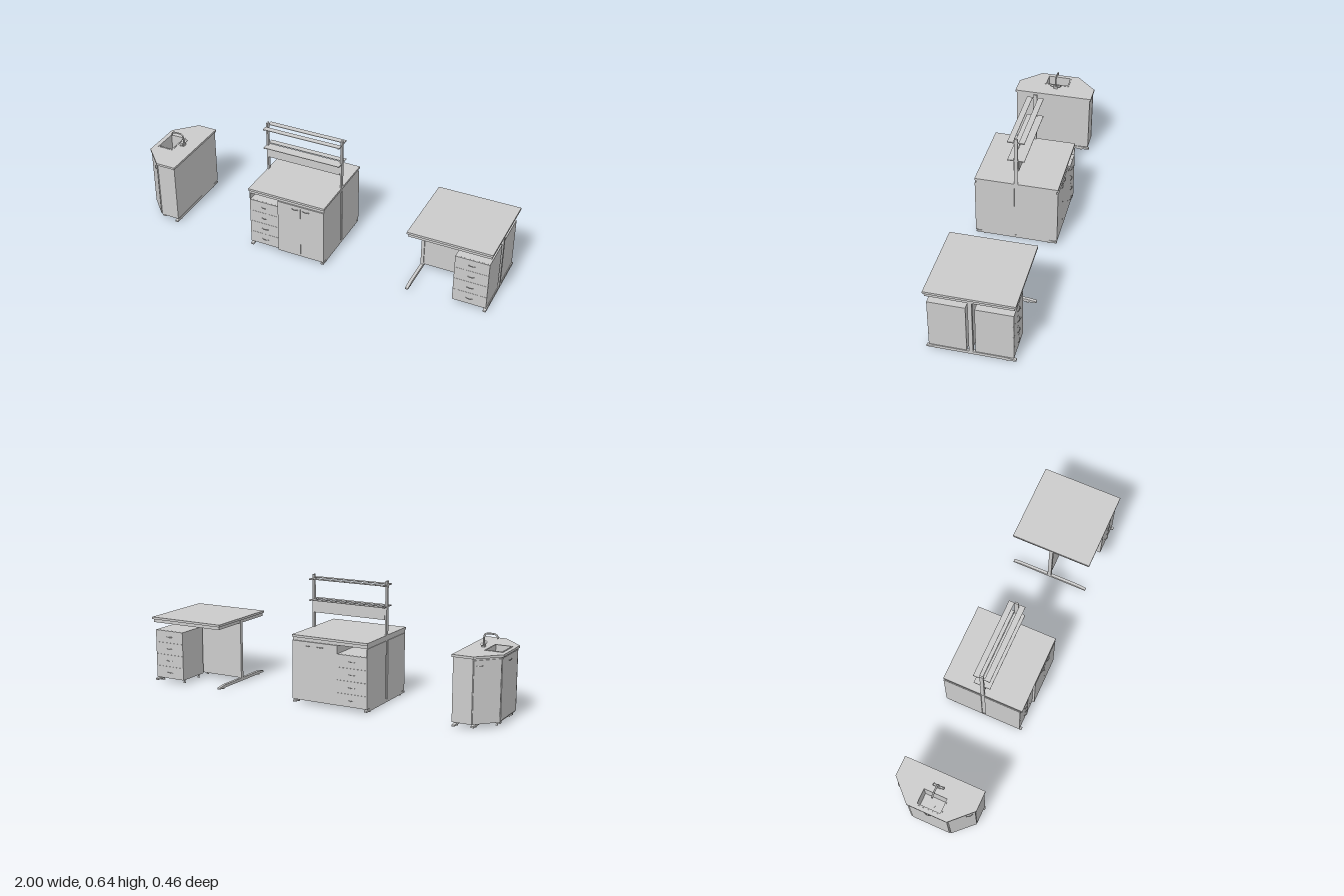
import * as THREE from 'three';

const mat = new THREE.MeshStandardMaterial({ color: 0xcccccc, side: THREE.DoubleSide });

function add(parent, name, geo) {
  const m = new THREE.Mesh(geo, mat);
  m.name = name;
  parent.add(m);
  return m;
}

function group(parent, name) {
  const g = new THREE.Group();
  g.name = name;
  parent.add(g);
  return g;
}

// Box given by its extents on each axis
function box(parent, name, x0, x1, y0, y1, z0, z1) {
  const m = add(parent, name, new THREE.BoxGeometry(x1 - x0, y1 - y0, Math.abs(z1 - z0)));
  m.position.set((x0 + x1) / 2, (y0 + y1) / 2, (z0 + z1) / 2);
  return m;
}

// Upright prism from an [x, z] outline, with an optional hole
function prism(parent, name, outline, y0, y1, hole) {
  const pts = a => a.map(([x, z]) => new THREE.Vector2(x, -z));
  const shape = new THREE.Shape(pts(outline));
  if (hole) shape.holes.push(new THREE.Path(pts(hole)));
  const geo = new THREE.ExtrudeGeometry(shape, { depth: y1 - y0, bevelEnabled: false });
  geo.rotateX(-Math.PI / 2);
  return add(parent, name, geo).translateY(y0);
}

// Bow handle on a vertical face whose outward direction is angle
function handle(parent, x, y, z, angle) {
  const bow = new THREE.QuadraticBezierCurve3(
    new THREE.Vector3(-0.018, 0, 0), new THREE.Vector3(0, 0, 0.012), new THREE.Vector3(0.018, 0, 0));
  const m = add(parent, 'handle', new THREE.TubeGeometry(bow, 8, 0.0018, 6));
  m.position.set(x, y, z);
  m.rotation.y = angle;
}

// Foot bar along z with sloping ends, on levelling feet
function footBar(parent, x, zMax = 0.22, zMin = -zMax) {
  const s = new THREE.Shape([[zMin, 0.006], [zMax, 0.006], [zMax, 0.014], [zMax - 0.05, 0.022],
    [zMin + 0.05, 0.022], [zMin, 0.014]].map(p => new THREE.Vector2(...p)));
  const geo = new THREE.ExtrudeGeometry(s, { depth: 0.016, bevelEnabled: false });
  geo.translate(0, 0, -0.008).rotateY(-Math.PI / 2);
  add(parent, 'footBar', geo).position.x = x;
  for (const z of [zMin + 0.045, zMax - 0.045]) levelFoot(parent, x, z);
}

function levelFoot(parent, x, z) {
  add(parent, 'levellingFoot', new THREE.CylinderGeometry(0.004, 0.007, 0.008, 12)).position.set(x, 0.004, z);
}

// Four-drawer unit; side is +1 for the front and -1 for the back
function drawerUnit(parent, x0, x1, zIn, zOut, side) {
  const g = group(parent, 'drawerUnit');
  box(g, 'drawerCarcass', x0, x1, 0.022, 0.29, side * zIn, side * (zOut - 0.006));
  const h = (0.29 - 0.022) / 4;
  for (let i = 0; i < 4; i++) {
    const y = 0.022 + i * h;
    box(g, 'drawerFront', x0, x1, y + 0.0004, y + h - 0.0004, side * (zOut - 0.006), side * zOut);
    handle(g, (x0 + x1) / 2, y + h / 2, side * zOut, side > 0 ? 0 : Math.PI);
  }
}

// Rectangular rail frame under a worktop
function railFrame(parent, x0, x1) {
  for (const s of [-1, 1]) box(parent, 'longRail', x0, x1, 0.333, 0.35, s * 0.2, s * 0.215);
  for (const x of [x0, x1 - 0.015]) box(parent, 'crossRail', x, x + 0.015, 0.333, 0.35, -0.2, 0.2);
  box(parent, 'middleRail', x0, x1, 0.333, 0.35, -0.01, 0.01);
}

function sinkUnit(root) {
  const g = group(root, 'sinkUnit');
  const top = [[-0.78, 0.222], [-0.89, 0.222], [-1, 0.11], [-1, -0.11], [-0.89, -0.222], [-0.78, -0.222]];
  const body = [[-0.785, 0.215], [-0.887, 0.215], [-0.99, 0.108], [-0.99, -0.108], [-0.887, -0.215], [-0.785, -0.215]];
  const rect = (x0, x1, z) => [[x0, -z], [x1, -z], [x1, z], [x0, z]];
  const hole = rect(-0.973, -0.893, 0.063);
  prism(g, 'sinkWorktop', top, 0.35, 0.362, hole);
  prism(g, 'cabinet', body, 0.03, 0.35, hole);
  prism(g, 'cabinetBottom', body, 0.026, 0.03);
  prism(g, 'sinkRim', rect(-0.98, -0.886, 0.07), 0.361, 0.364, hole);
  box(g, 'basinFloor', -0.974, -0.892, 0.25, 0.254, -0.064, 0.064);
  add(g, 'drain', new THREE.CylinderGeometry(0.01, 0.01, 0.003, 16)).position.set(-0.933, 0.255, 0);
  // Doors on the angled corners and the end
  for (const s of [-1, 1]) {
    const door = add(g, 'cornerDoor', new THREE.BoxGeometry(0.142, 0.31, 0.005));
    door.position.set(-0.94, 0.187, s * 0.163);
    door.rotation.y = s * -0.805;
    handle(g, -0.914, 0.315, s * 0.193, s > 0 ? -0.805 : Math.PI + 0.805);
  }
  box(g, 'endDoor', -0.993, -0.989, 0.032, 0.342, -0.105, 0.105);
  handle(g, -0.993, 0.315, 0, -Math.PI / 2);
  footBar(g, -0.795);
  footBar(g, -0.885, 0.2);
  for (const z of [-0.08, 0.08]) {
    box(g, 'baseRail', -0.985, -0.79, 0.012, 0.026, z - 0.008, z + 0.008);
    levelFoot(g, -0.965, z);
    box(g, 'footStem', -0.969, -0.961, 0.005, 0.014, z - 0.004, z + 0.004);
  }
  // Mixer tap with two tilted knobs
  const tap = group(g, 'tap');
  box(tap, 'tapBase', -0.862, -0.848, 0.362, 0.374, -0.012, 0.012);
  const path = new THREE.CatmullRomCurve3([[-0.855, 0.365], [-0.855, 0.41], [-0.862, 0.426], [-0.878, 0.43],
    [-0.908, 0.43], [-0.921, 0.425], [-0.926, 0.408]].map(([x, y]) => new THREE.Vector3(x, y, 0)));
  add(tap, 'spout', new THREE.TubeGeometry(path, 32, 0.0045, 10));
  for (const s of [-1, 1]) {
    const knob = add(tap, 'tapKnob', new THREE.CylinderGeometry(0.007, 0.005, 0.018, 12));
    knob.position.set(-0.855, 0.377, s * 0.02);
    knob.rotation.x = s * 1.15;
  }
}

function islandBench(root) {
  const g = group(root, 'islandBench');
  const x0 = -0.33, x1 = 0.105, xm = -0.16;
  box(g, 'benchWorktop', x0, x1, 0.35, 0.362, -0.222, 0.222);
  railFrame(g, x0 + 0.003, x1 - 0.003);
  for (const s of [1, -1]) {
    const out = s > 0 ? 0.21 : 0.222;
    drawerUnit(g, x0 + 0.004, xm, 0.01, out, s);
    box(g, 'nicheSide', x0, x0 + 0.004, 0.022, 0.333, s * 0.01, s * out);
    box(g, 'nicheBack', x0 + 0.004, xm, 0.29, 0.333, s * 0.01, s * 0.016);
    // Cupboard with a pair of doors
    box(g, 'cupboard', xm, x1 - 0.003, 0.022, 0.333, s * 0.01, s * 0.216);
    const mid = (xm + x1 - 0.003) / 2;
    box(g, 'cupboardDoor', xm, mid - 0.0004, 0.022, 0.333, s * 0.216, s * 0.222);
    box(g, 'cupboardDoor', mid + 0.0004, x1 - 0.003, 0.022, 0.333, s * 0.216, s * 0.222);
    for (const dx of [-0.031, 0.031]) handle(g, mid + dx, 0.311, s * 0.222, s > 0 ? 0 : Math.PI);
  }
  for (const x of [x0 + 0.01, x1 - 0.012]) {
    footBar(g, x);
    box(g, 'legColumn', x - 0.006, x + 0.006, 0.02, 0.34, -0.0095, 0.0095);
  }
  box(g, 'baseRail', x0 + 0.01, x1 - 0.012, 0.008, 0.022, -0.01, 0.01);

  // Reagent rack: posts, service panel and two split shelves
  const r = group(g, 'shelfRack');
  for (const x of [x0, x1 - 0.009]) {
    box(r, 'rackPost', x, x + 0.009, 0.362, 0.642, -0.01, 0.01);
    for (const y of [0.507, 0.617]) box(r, 'shelfBracket', x, x + 0.009, y, y + 0.004, -0.045, 0.045);
  }
  box(r, 'servicePanel', x0 + 0.009, x1 - 0.009, 0.442, 0.508, -0.014, 0.014);
  for (const y of [0.509, 0.62]) for (const s of [-1, 1])
    box(r, 'shelfStrip', x0, x1, y, y + 0.003, s * 0.015, s * 0.045);
}

function desk(root) {
  const g = group(root, 'desk');
  const x0 = 0.556, x1 = 1;
  box(g, 'deskTop', x0, x1, 0.35, 0.362, -0.222, 0.222);
  railFrame(g, x0 + 0.006, x1 - 0.006);
  box(g, 'modestyPanel', x0 + 0.018, x1 - 0.022, 0.022, 0.336, -0.004, 0.004);
  // T-shaped legs
  for (const x of [x0 + 0.013, x1 - 0.018]) {
    footBar(g, x);
    box(g, 'legColumn', x - 0.008, x + 0.008, 0.02, 0.345, -0.01, 0.01);
  }
  // Back-to-back drawer pedestals on small feet
  for (const s of [1, -1]) {
    drawerUnit(g, 0.808, 0.986, 0.022, 0.209, s);
    for (const x of [0.826, 0.966]) for (const z of [0.045, 0.176]) {
      levelFoot(g, x, s * z);
      box(g, 'footStem', x - 0.003, x + 0.003, 0.006, 0.023, s * z - 0.003, s * z + 0.003);
    }
  }
}

export function createModel() {
  const root = new THREE.Group();
  root.name = 'laboratoryFurniture';
  sinkUnit(root);
  islandBench(root);
  desk(root);
  return root;
}
